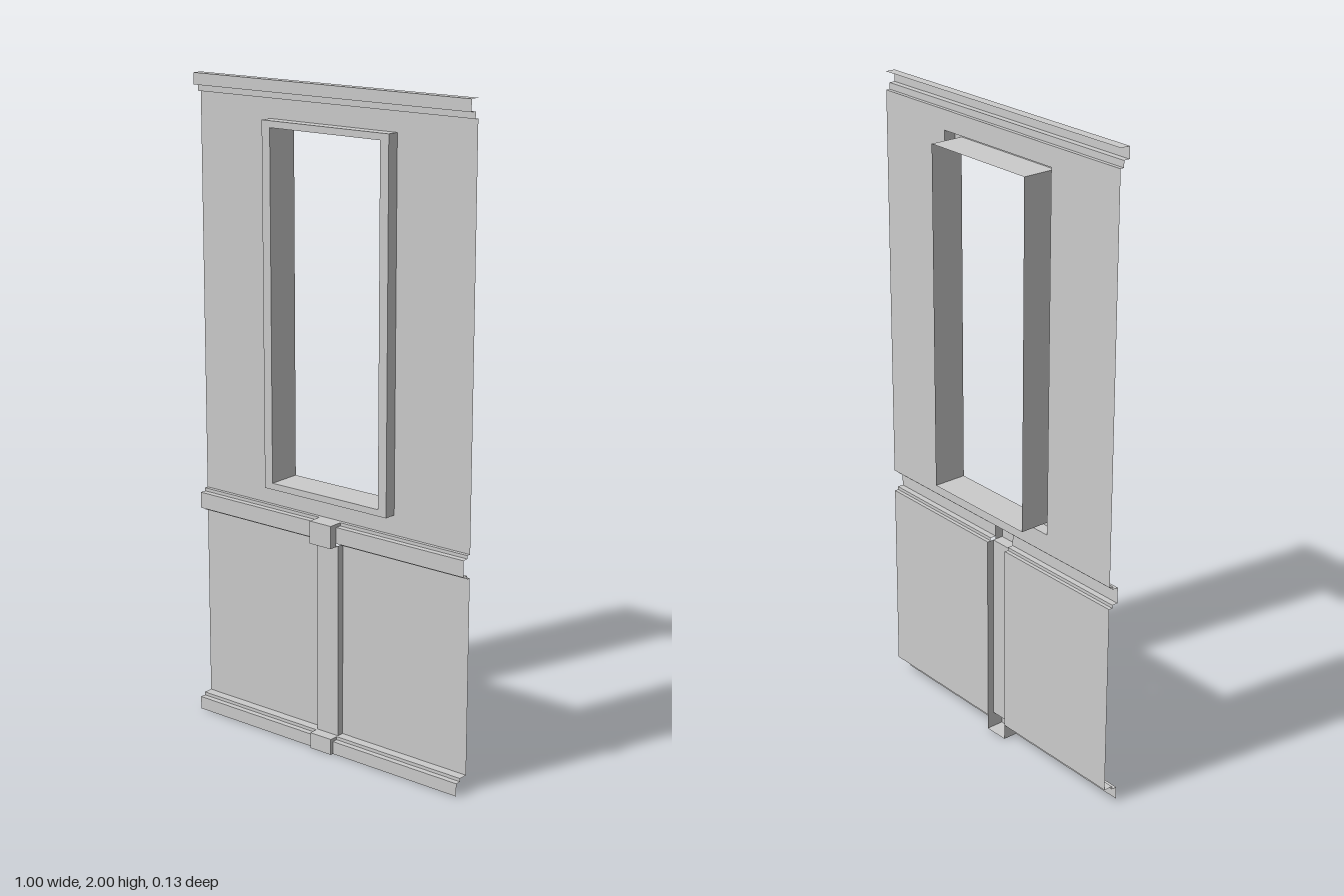
import * as THREE from 'three';

const material = new THREE.MeshStandardMaterial({ color: 0xcccccc, flatShading: true, side: THREE.DoubleSide });
const WALL = 0.006; // z of the flat wall sheet

// Mesh from a list of four-cornered faces
function quadMesh(name, quads) {
  const pos = [];
  for (const [a, b, c, d] of quads) pos.push(...a, ...b, ...c, ...a, ...c, ...d);
  const geo = new THREE.BufferGeometry();
  geo.setAttribute('position', new THREE.Float32BufferAttribute(pos, 3));
  geo.computeVertexNormals();
  const mesh = new THREE.Mesh(geo, material);
  mesh.name = name;
  return mesh;
}

// Sweep an open [z, y] profile, listed from top to bottom, along x
function strip(profile, x0, x1) {
  return profile.slice(1).map(([z1, y1], i) => {
    const [z0, y0] = profile[i];
    return [[x0, y0, z0], [x0, y1, z1], [x1, y1, z1], [x1, y0, z0]];
  });
}

// Join rectangular rings, each [half width, bottom, top, z]
function loft(rings) {
  const corners = rings.map(([w, b, t, z]) => [[-w, b, z], [w, b, z], [w, t, z], [-w, t, z]]);
  const quads = [];
  for (let r = 0; r + 1 < corners.length; r++) {
    for (let i = 0; i < 4; i++) {
      const j = (i + 1) % 4;
      quads.push([corners[r][i], corners[r][j], corners[r + 1][j], corners[r + 1][i]]);
    }
  }
  return quads;
}

export function createModel() {
  const group = new THREE.Group();
  const half = 0.5, post = 0.04;

  // Upper wall with the window opening, and the hollow window casing
  group.add(quadMesh('upperWall', loft([[half, 0.725, 1.945, WALL], [0.23, 0.785, 1.885, WALL]])));
  group.add(quadMesh('windowFrame', loft([
    [0.23, 0.785, 1.885, WALL], [0.23, 0.785, 1.885, 0.044],
    [0.2, 0.805, 1.865, 0.044], [0.2, 0.805, 1.865, -0.063],
  ])));

  // Stepped crown moulding
  group.add(quadMesh('crownMoulding', strip(
    [[WALL, 2], [0.037, 2], [0.037, 1.965], [0.018, 1.965], [0.018, 1.945], [WALL, 1.945]], -half, half)));

  // Lower panels with chair rail and baseboard, either side of the pilaster
  const rail = [[WALL, 0.725], [0.018, 0.725], [0.018, 0.715], [0.037, 0.715],
    [0.037, 0.665], [0.018, 0.665], [0.018, 0.655], [WALL, 0.655]];
  const base = [[WALL, 0.05], [0.035, 0.05], [0.035, 0.04], [0.053, 0.04], [0.053, 0]];
  for (const [side, x0, x1] of [['left', post, half], ['right', -half, -post]]) {
    group.add(quadMesh(side + 'ChairRail', strip(rail, x0, x1)));
    group.add(quadMesh(side + 'LowerPanel', strip([[WALL, 0.655], [WALL, 0.05]], x0, x1)));
    group.add(quadMesh(side + 'Baseboard', strip(base, x0, x1)));
  }

  // Pilaster: cap, shaft and foot as one folded sheet, open at the back
  const pilaster = strip([[WALL, 0.725], [0.063, 0.725], [0.063, 0.655], [0.028, 0.655],
    [0.028, 0.05], [0.063, 0.05], [0.063, 0], [WALL, 0]], -post, post);
  // Side faces as [back z, front z, bottom, top]
  const sides = [[0.037, 0.063, 0.655, 0.725], [0.018, 0.037, 0.715, 0.725],
    [WALL, 0.028, 0.05, 0.655], [WALL, 0.063, 0, 0.05]];
  for (const [zb, zf, b, t] of sides) {
    pilaster.push([[post, b, zf], [post, b, zb], [post, t, zb], [post, t, zf]]);
    pilaster.push([[-post, b, zb], [-post, b, zf], [-post, t, zf], [-post, t, zb]]);
  }
  group.add(quadMesh('pilaster', pilaster));

  return group;
}
